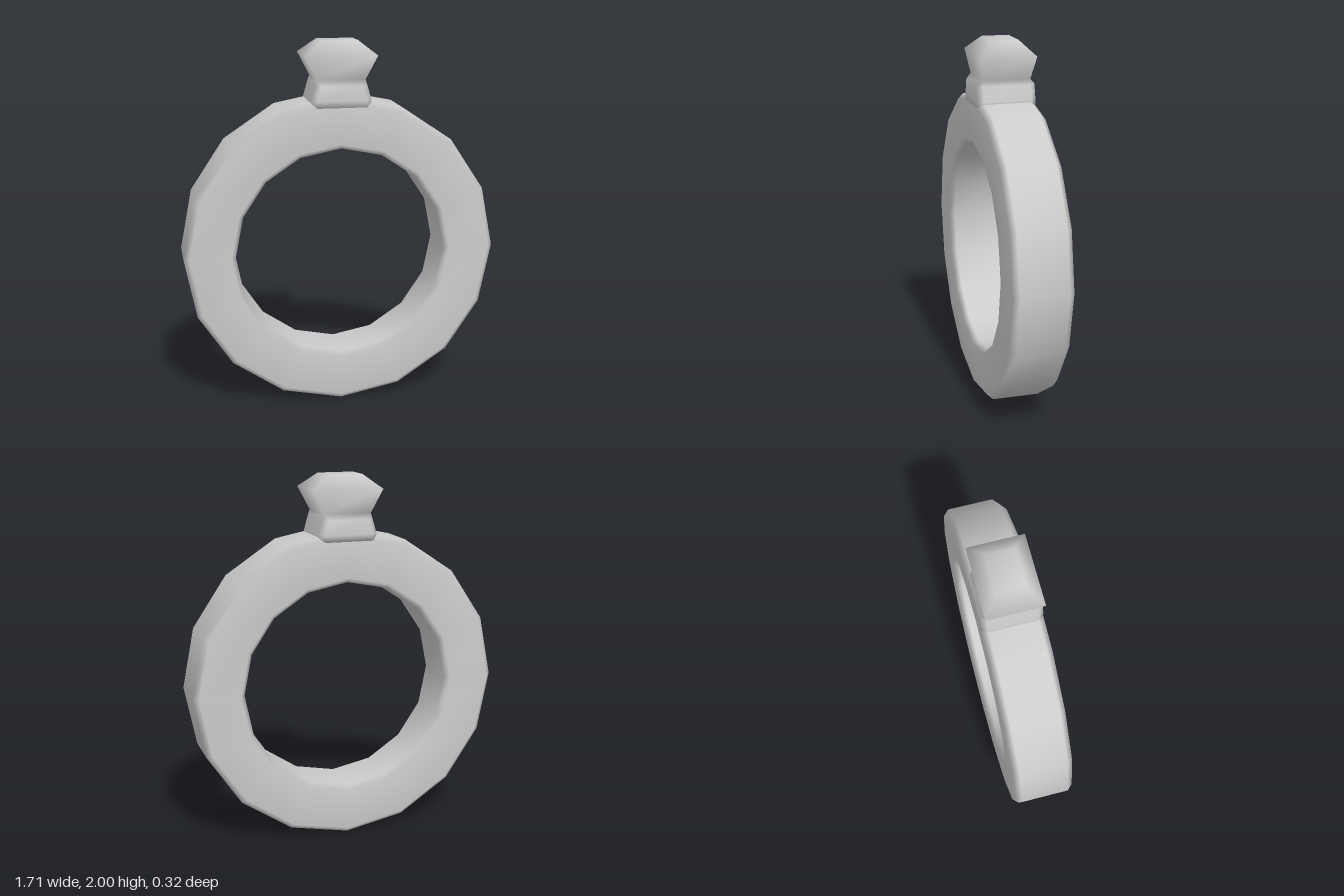
import * as THREE from 'three';
import { mergeVertices } from 'three/addons/utils/BufferGeometryUtils.js';

const SIDES = 16, OUTER = 0.857, INNER = 0.577, HALF = 0.158, BEVEL = 0.03;

// Weld the vertices and shade smoothly across every edge
function smooth(geometry) {
  geometry.deleteAttribute('normal');
  geometry.deleteAttribute('uv');
  const welded = mergeVertices(geometry, 1e-4);
  welded.computeVertexNormals();
  return welded;
}

// Loft through rectangles with cut corners: [y, half width, half depth, corner cut]
function loft(sections) {
  const positions = [], index = [], n = 8;
  for (const [y, w, d, c] of sections) {
    const ring = [
      [w, d - c], [w - c, d], [c - w, d], [-w, d - c],
      [-w, c - d], [c - w, -d], [w - c, -d], [w, c - d],
    ];
    for (const [x, z] of ring) positions.push(x, y, z);
  }
  for (let s = 0; s < sections.length - 1; s++) {
    for (let i = 0; i < n; i++) {
      const a = s * n + i, b = s * n + (i + 1) % n;
      index.push(a, a + n, b, b, a + n, b + n);
    }
  }
  const top = (sections.length - 1) * n;
  for (let i = 1; i < n - 1; i++) {
    index.push(top, top + i + 1, top + i);
    index.push(0, i, i + 1);
  }
  const geometry = new THREE.BufferGeometry();
  geometry.setAttribute('position', new THREE.Float32BufferAttribute(positions, 3));
  geometry.setIndex(index);
  return smooth(geometry);
}

export function createModel() {
  const model = new THREE.Group();
  model.name = 'gemRing';
  const material = new THREE.MeshStandardMaterial({ color: 0xcccccc });

  // Sixteen-sided band with bevelled rims, turned to stand upright
  const inset = 0.025;
  const profile = [
    [INNER, -HALF + BEVEL], [INNER + inset, -HALF],
    [OUTER - BEVEL, -HALF], [OUTER, -HALF + BEVEL],
    [OUTER, HALF - BEVEL], [OUTER - BEVEL, HALF],
    [INNER + inset, HALF], [INNER, HALF - BEVEL],
    [INNER, -HALF + BEVEL],
  ].map(([x, y]) => new THREE.Vector2(x, y));
  const bandGeometry = new THREE.LatheGeometry(profile, SIDES);
  bandGeometry.rotateX(Math.PI / 2);
  const band = new THREE.Mesh(smooth(bandGeometry), material);
  band.name = 'band';
  band.position.y = OUTER;
  model.add(band);

  // Bevelled setting narrowing to a waist, then the flared gem with a flat table
  const stone = new THREE.Mesh(loft([
    [1.655, 0.165, HALF + 0.0005, BEVEL],
    [1.69, 0.163, HALF + 0.0005, BEVEL],
    [1.77, 0.14, HALF + 0.0005, BEVEL],
    [1.80, 0.13, 0.13, 0],
    [1.925, 0.193, 0.148, 0],
    [2.0, 0.1, 0.075, 0],
  ]), material);
  stone.name = 'settingAndGem';
  model.add(stone);

  return model;
}
